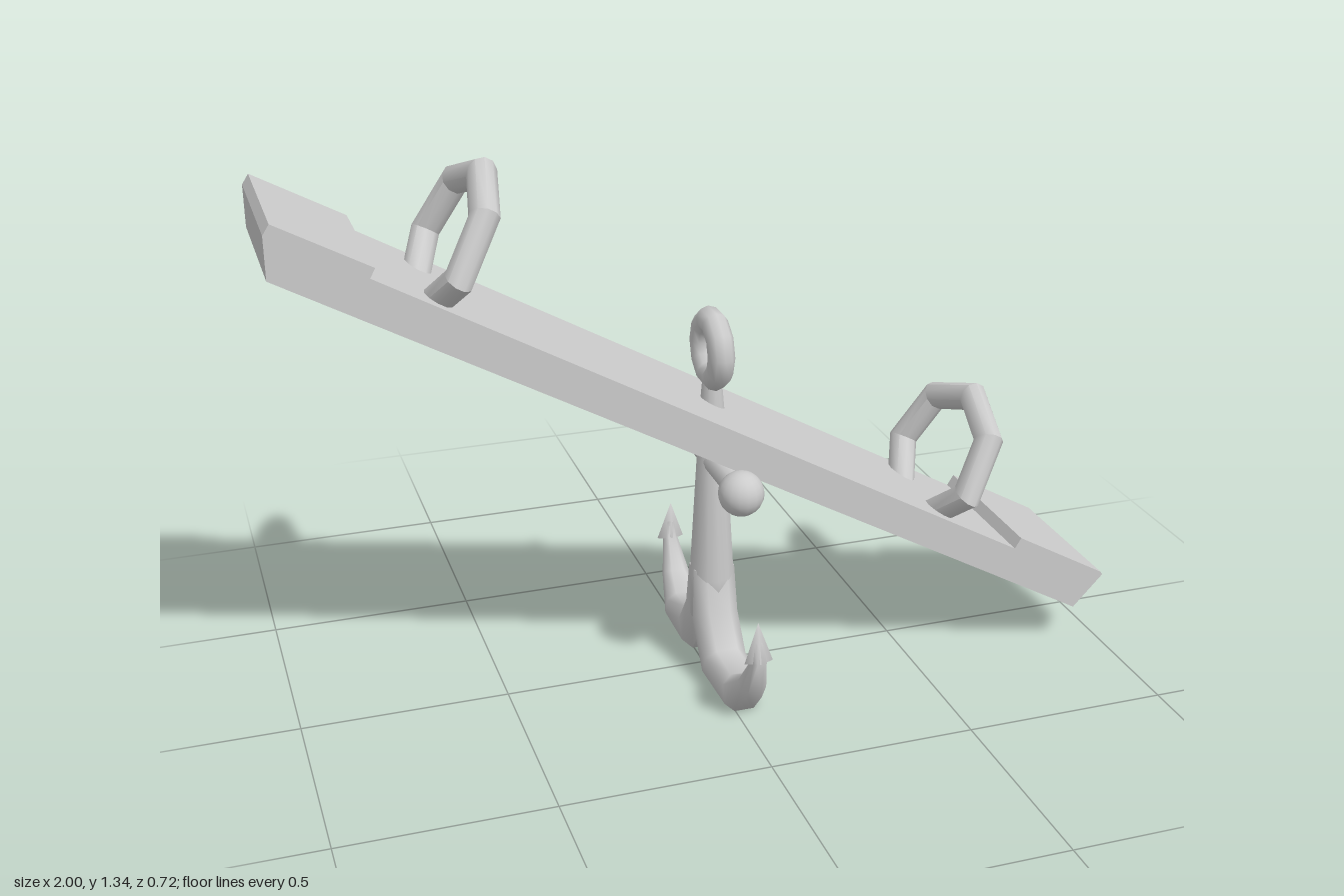
import * as THREE from 'three';
import { toCreasedNormals } from 'three/addons/utils/BufferGeometryUtils.js';

const TILT = Math.atan(0.562);
const CX = 0.022; // anchor centre line

const material = new THREE.MeshStandardMaterial({ color: 0xcccccc });

function part(name, geometry, parent) {
  const mesh = new THREE.Mesh(geometry, material);
  mesh.name = name;
  parent.add(mesh);
  return mesh;
}

// Mitred sweep along [x, y, radius] stations in the XY plane.
// A power below 1 squares off the cross-section; wide overrides the radius along Z.
function sweep(stations, sides, power = 1, crease = 0.65) {
  const pts = stations.map(([x, y]) => new THREE.Vector2(x, y));
  const n = pts.length;
  const pos = [], idx = [];
  const shape = (v) => Math.sign(v) * Math.pow(Math.abs(v), power);
  pts.forEach((p, i) => {
    const a = pts[i].clone().sub(pts[Math.max(i - 1, 0)]).normalize();
    const b = pts[Math.min(i + 1, n - 1)].clone().sub(pts[i]).normalize();
    const t = a.clone().add(b).normalize();
    const mitre = 1 / Math.max(t.dot(i ? a : b), 0.6);
    const [, , r, wide = r] = stations[i];
    for (let j = 0; j < sides; j++) {
      const ang = ((j + 0.5) / sides) * Math.PI * 2;
      const u = shape(Math.cos(ang)) * r * mitre;
      pos.push(p.x - t.y * u, p.y + t.x * u, shape(Math.sin(ang)) * wide);
    }
  });
  for (let i = 0; i < n - 1; i++) {
    for (let j = 0; j < sides; j++) {
      const a = i * sides + j, b = i * sides + (j + 1) % sides;
      idx.push(a, b, a + sides, b, b + sides, a + sides);
    }
  }
  // end caps
  const c = n * sides;
  pos.push(pts[0].x, pts[0].y, 0, pts[n - 1].x, pts[n - 1].y, 0);
  for (let j = 0; j < sides; j++) {
    const k = (j + 1) % sides, e = (n - 1) * sides;
    idx.push(c, k, j, c + 1, e + j, e + k);
  }
  const g = new THREE.BufferGeometry();
  g.setAttribute('position', new THREE.Float32BufferAttribute(pos, 3));
  g.setIndex(idx);
  return toCreasedNormals(g, crease);
}

// Tilted board with raised seat blocks at both ends
function addPlank(parent) {
  const outline = [
    [-1, 1.178], [0.924, 0.102], [1, 0.182], [0.995, 0.19], [0.763, 0.321],
    [0.747, 0.295], [-0.79, 1.162], [-0.778, 1.184], [-0.985, 1.298], [-1, 1.275],
  ].map(([x, y]) => new THREE.Vector2(x, y));
  const g = new THREE.ExtrudeGeometry(new THREE.Shape(outline), { depth: 0.394, bevelEnabled: false });
  g.translate(0, 0, -0.197);
  part('plank', g, parent);
}

// Open, faceted handle loops standing square to the board
function addHandles(parent) {
  const half = [[0.09, -0.03], [0.19, 0.067], [0.153, 0.207]];
  const loop = [
    ...half, [0, 0.267], ...half.map(([z, s]) => [-z, s]).reverse(),
  ].map(([z, s]) => [z, s, 0.034]);
  const g = sweep(loop, 10).rotateY(-Math.PI / 2);
  [['upperHandle', -0.637, 1.077], ['lowerHandle', 0.577, 0.397]].forEach(([name, x, y]) => {
    const handle = part(name, g, parent);
    handle.position.set(x, y, 0);
    handle.rotation.z = -TILT;
  });
}

// Anchor serving as the pivot post
function addAnchor(parent) {
  const anchor = new THREE.Group();
  anchor.name = 'anchor';
  anchor.position.x = CX;
  parent.add(anchor);

  const ring = new THREE.TorusGeometry(0.069, 0.032, 10, 10).rotateY(Math.PI / 2);
  part('anchorRing', ring, anchor).position.y = 0.84;

  const shank = [[0.001, 0.14], [0.054, 0.14], [0.055, 0.25], [0.039, 0.53], [0.03, 0.69], [0.022, 0.78]]
    .map(([r, y]) => new THREE.Vector2(r, y));
  part('shank', new THREE.LatheGeometry(shank, 12), anchor);

  // crossbar with ball ends
  const bar = new THREE.CylinderGeometry(0.029, 0.029, 0.42, 12).rotateX(Math.PI / 2);
  part('crossbar', bar, anchor).position.y = 0.56;
  const ball = new THREE.SphereGeometry(0.054, 16, 12);

  // curved arms splitting off the shank, tipped with flukes
  const arm = sweep([
    [0, 0.27, 0.045, 0.054], [0.022, 0.15, 0.05, 0.055], [0.095, 0.05, 0.05, 0.055],
    [0.232, 0.044, 0.044, 0.05], [0.3, 0.104, 0.027, 0.034], [0.345, 0.188, 0.015, 0.018],
    [0.341, 0.235, 0.008, 0.01],
  ], 8, 0.75, 1.1).rotateY(-Math.PI / 2);
  const fluke = toCreasedNormals(new THREE.ConeGeometry(1, 0.1, 4), 0.3).scale(0.035, 1, 0.016);

  [1, -1].forEach((s) => {
    const side = new THREE.Group();
    side.name = s > 0 ? 'frontArm' : 'backArm';
    side.rotation.y = s > 0 ? 0 : Math.PI;
    anchor.add(side);
    part('crossbarBall', ball, side).position.set(0, 0.56, 0.213);
    part('arm', arm, side);
    const tip = part('fluke', fluke, side);
    tip.position.set(0, 0.236, 0.341);
    tip.rotation.x = -0.06;
  });
}

export function createModel() {
  const model = new THREE.Group();
  model.name = 'anchorSeesaw';
  addPlank(model);
  addHandles(model);
  addAnchor(model);
  return model;
}
